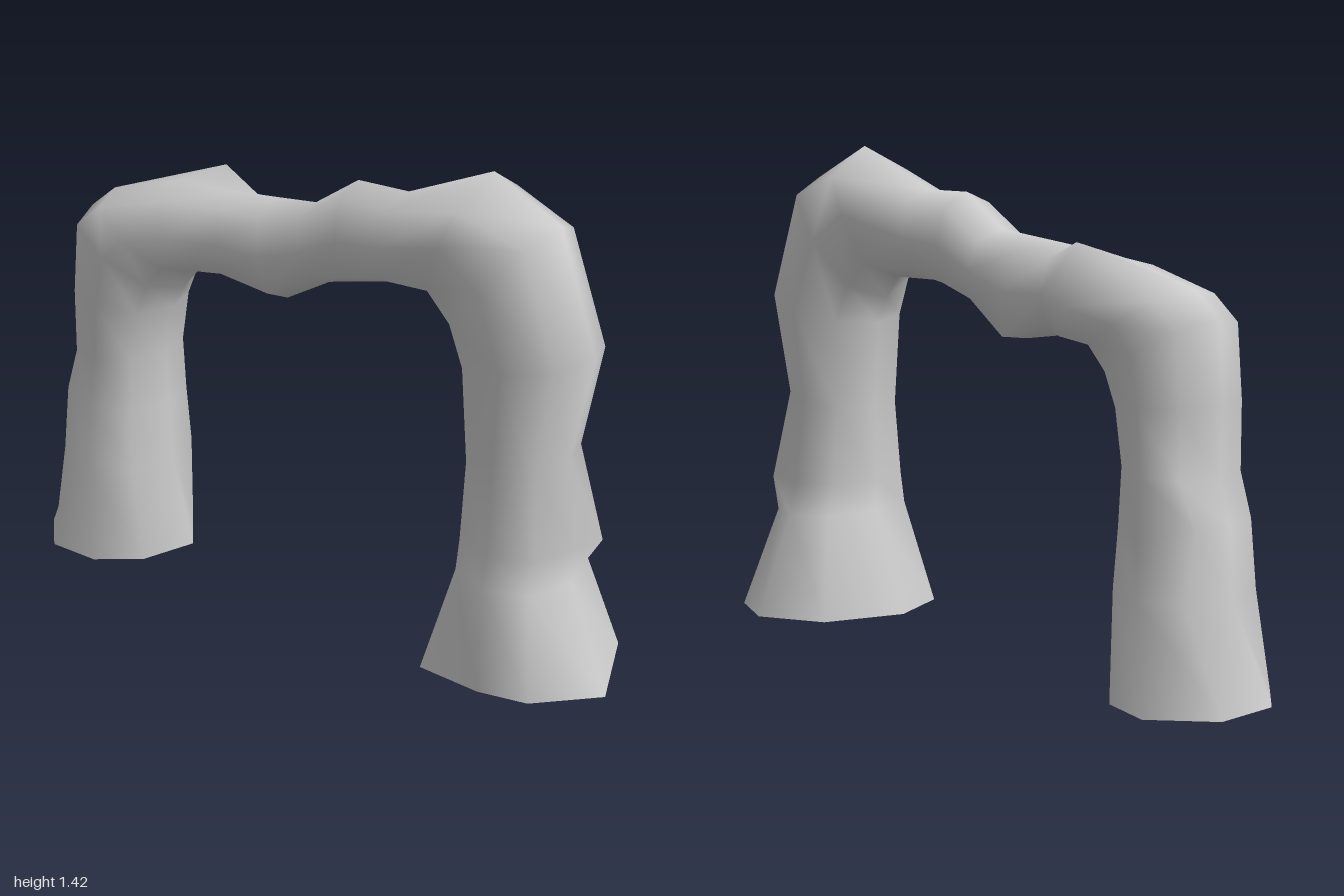
import * as THREE from 'three';

const SIDES = 8;

// Sections along the arch: outer x, y, inner x, y, back z, front z
const sections = [
  [-1.0, 0, -0.54, 0, -0.21, 0.27],
  [-0.93, 0.3, -0.575, 0.3, -0.145, 0.235],
  [-0.915, 0.5, -0.585, 0.47, -0.13, 0.22],
  [-0.875, 0.62, -0.59, 0.64, -0.115, 0.21],
  [-0.875, 0.82, -0.555, 0.79, -0.11, 0.215],
  [-0.86, 1.05, -0.51, 0.865, -0.11, 0.215],
  [-0.77, 1.12, -0.45, 0.93, -0.11, 0.215],
  [-0.53, 1.185, -0.38, 0.937, -0.13, 0.205],
  [-0.3, 1.2, -0.29, 0.945, -0.065, 0.18],
  [-0.16, 1.21, -0.12, 0.915, -0.06, 0.175],
  [-0.02, 1.22, 0.03, 0.995, -0.06, 0.175],
  [0.13, 1.315, 0.14, 1.02, -0.06, 0.175],
  [0.29, 1.31, 0.26, 1.045, -0.07, 0.18],
  [0.57, 1.42, 0.42, 1.04, -0.11, 0.205],
  [0.79, 1.31, 0.48, 0.97, -0.11, 0.215],
  [0.91, 0.96, 0.52, 0.89, -0.115, 0.225],
  [0.84, 0.66, 0.543, 0.62, -0.1, 0.21],
  [0.86, 0.39, 0.535, 0.4, -0.13, 0.235],
  [0.85, 0.29, 0.53, 0.31, -0.16, 0.25],
  [1.0, 0, 0.42, 0, -0.28, 0.28],
];

// Uneven outlines of the two feet: x, z
const leftFoot = [
  [-1, 0.13], [-0.88, 0.26], [-0.71, 0.27], [-0.59, 0.18],
  [-0.54, 0], [-0.68, -0.17], [-0.84, -0.21], [-1, -0.07],
];
const rightFoot = [
  [1, 0.09], [0.85, 0.25], [0.7, 0.275], [0.49, 0.25],
  [0.42, 0.06], [0.51, -0.18], [0.7, -0.28], [0.86, -0.21],
];

// Single corners pulled out of round: section, corner, position
const knobs = [
  ...leftFoot.map(([x, z], k) => [0, k, x, 0, z]),
  ...rightFoot.map(([x, z], k) => [sections.length - 1, k, x, 0, z]),
  [2, 6, -0.77, 0.46, -0.16],
  [2, 7, -0.925, 0.51, -0.1],
  [7, 7, -0.43, 1.228, -0.055],
  [9, 5, -0.12, 0.93, -0.04],
  [13, 1, 0.55, 1.34, 0.2],
  [13, 7, 0.55, 1.34, -0.1],
  [17, 7, 0.875, 0.38, -0.075],
];

function archGeometry() {
  const positions = [], index = [];
  for (const [ox, oy, ix, iy, back, front] of sections) {
    for (let k = 0; k < SIDES; k++) {
      const a = (k / SIDES) * Math.PI * 2;
      const round = k % 2 ? 1.06 : 1;
      const t = (1 + Math.cos(a) * round) / 2;
      positions.push(
        ix + (ox - ix) * t,
        iy + (oy - iy) * t,
        (front + back) / 2 + ((front - back) / 2) * Math.sin(a) * round
      );
    }
  }
  for (const [s, k, x, y, z] of knobs) {
    positions.splice((s * SIDES + k) * 3, 3, x, y, z);
  }
  for (let s = 0; s < sections.length - 1; s++) {
    for (let k = 0; k < SIDES; k++) {
      const a = s * SIDES + k, b = s * SIDES + ((k + 1) % SIDES);
      index.push(a, b, a + SIDES, b, b + SIDES, a + SIDES);
    }
  }
  const geometry = new THREE.BufferGeometry();
  geometry.setAttribute('position', new THREE.Float32BufferAttribute(positions, 3));
  geometry.setIndex(index);
  geometry.computeVertexNormals();
  return geometry;
}

export function createModel() {
  const group = new THREE.Group();
  group.name = 'rockArch';
  const stone = new THREE.MeshStandardMaterial({ color: 0xcccccc, side: THREE.DoubleSide });
  stone.name = 'stone grey';

  // Hollow arch, open at both feet
  const arch = new THREE.Mesh(archGeometry(), stone);
  arch.name = 'arch';
  group.add(arch);
  return group;
}
